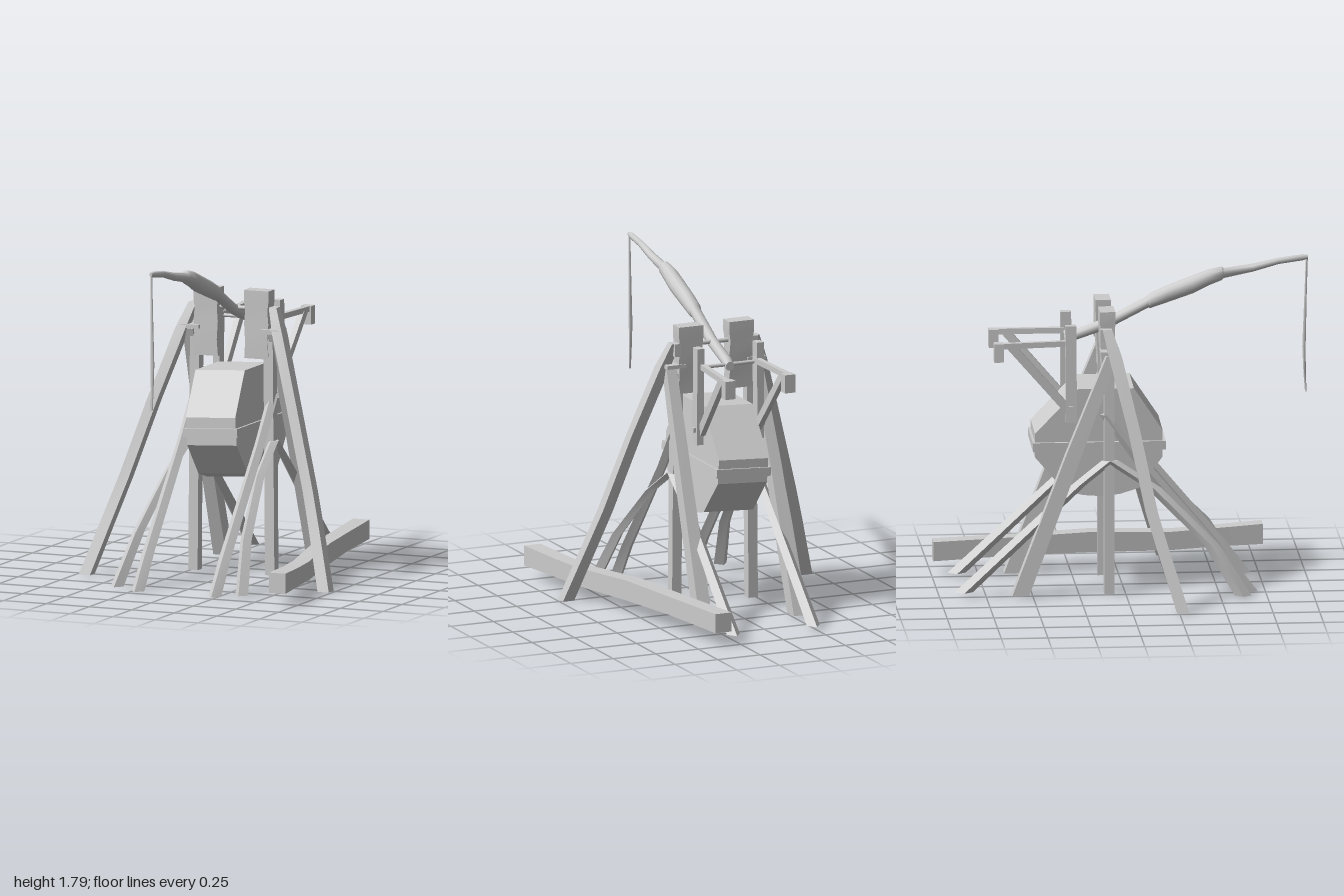
import * as THREE from 'three';
import { toCreasedNormals } from 'three/addons/utils/BufferGeometryUtils.js';

const mat = new THREE.MeshStandardMaterial({ color: 0xcccccc });

// Loft through sections [x, y, z, width, depth]. Sections lie flat (path runs downward)
// or, with along = 'z', upright (path runs towards +z).
function loft(sections, { sides = 4, diamond = false, along = 'y', crease = 0.5 } = {}) {
  const pos = [], idx = [];
  const square = sides === 4 && !diamond;
  const k = square ? Math.SQRT2 / 2 : 0.5;
  for (const [x, y, z, w, d] of sections) {
    for (let i = 0; i < sides; i++) {
      const a = (i / sides) * Math.PI * 2 + (square ? Math.PI / 4 : 0);
      const u = Math.cos(a) * w * k, v = Math.sin(a) * d * k;
      if (along === 'z') pos.push(x + u, y + v, z);
      else pos.push(x + u, y, z + v);
    }
  }
  const last = (sections.length - 1) * sides;
  for (let r = 0; r < last; r += sides) {
    for (let i = 0; i < sides; i++) {
      const j = (i + 1) % sides;
      idx.push(r + i, r + j, r + sides + j, r + i, r + sides + j, r + sides + i);
    }
  }
  for (let i = 1; i < sides - 1; i++) {
    idx.push(0, i + 1, i, last, last + i, last + i + 1);
  }
  const g = new THREE.BufferGeometry();
  g.setAttribute('position', new THREE.Float32BufferAttribute(pos, 3));
  g.setIndex(idx);
  return toCreasedNormals(g, crease);
}

export function createModel() {
  const model = new THREE.Group();
  const add = (name, geometry, parent = model) => {
    const m = new THREE.Mesh(geometry, mat);
    m.name = name;
    parent.add(m);
    return m;
  };
  const box = (name, x, y, z, w, h, d, parent) =>
    add(name, new THREE.BoxGeometry(w, h, d), parent).position.set(x, y, z);
  const rod = (name, y, z, length, r) => {
    const m = add(name, new THREE.CylinderGeometry(r, r, length, 10));
    m.rotation.z = Math.PI / 2;
    m.position.set(0, y, z);
  };

  // Throwing arm with a thicker wrapped middle, and its hanging rope
  add('throwingArm', loft([
    [0, 1.365, -0.31, 0.05, 0.05], [0, 1.38, -0.28, 0.06, 0.06], [0, 1.45, -0.08, 0.06, 0.065],
    [0, 1.565, 0.14, 0.062, 0.068], [0, 1.57, 0.15, 0.078, 0.085], [0, 1.605, 0.24, 0.085, 0.095],
    [0, 1.655, 0.38, 0.09, 0.1], [0, 1.69, 0.46, 0.085, 0.09], [0, 1.712, 0.535, 0.07, 0.075],
    [0, 1.713, 0.545, 0.052, 0.055], [0, 1.74, 0.7, 0.045, 0.045], [0, 1.775, 0.84, 0.036, 0.036],
    [0, 1.792, 0.97, 0.03, 0.034], [0, 1.795, 0.998, 0.018, 0.02],
  ], { sides: 12, along: 'z', crease: 0.9 }));
  add('slingRope', loft([
    [0, 1.805, 0.992, 0.012, 0.012], [0, 1.6, 0.985, 0.014, 0.014], [0, 1.3, 0.976, 0.022, 0.02],
    [0, 1.15, 0.98, 0.016, 0.014], [0, 1.055, 0.986, 0.012, 0.01],
  ], { sides: 6, crease: 1.2 }));

  // Cross rods
  rod('axle', 1.455, -0.1, 0.2, 0.012);
  rod('rearRod', 1.373, -0.295, 0.36, 0.01);

  // Counterweight box: eight-sided profile in z, y, slightly tilted
  const weight = new THREE.Group();
  weight.name = 'counterweight';
  weight.position.set(0, 0.84, -0.14);
  weight.rotation.z = 0.055;
  model.add(weight);
  const slab = (name, outline, width) => {
    const shape = new THREE.Shape(outline.map(([z, y]) => new THREE.Vector2(z + 0.14, y - 0.84)));
    const g = new THREE.ExtrudeGeometry(shape, { depth: width, bevelEnabled: false });
    g.translate(0, 0, -width / 2).rotateY(-Math.PI / 2);
    add(name, toCreasedNormals(g, 0.45), weight);
  };
  slab('weightBody', [
    [0.05, 1.135], [-0.25, 1.135], [-0.48, 0.89], [-0.48, 0.76], [-0.32, 0.57], [-0.22, 0.545],
    [-0.12, 0.537], [-0.02, 0.548], [0.08, 0.58], [0.205, 0.75], [0.205, 0.9],
  ], 0.29);
  slab('weightBand', [[0.222, 0.842], [-0.492, 0.842], [-0.492, 0.795], [0.222, 0.795]], 0.318);

  // Frame, mirrored left and right
  for (const s of [1, -1]) {
    const side = new THREE.Group();
    side.name = s > 0 ? 'leftFrame' : 'rightFrame';
    model.add(side);
    const beam = (name, pts, opts) =>
      add(name, loft(pts.map(([x, ...rest]) => [s * x, ...rest]), opts), side);

    // Head block with gentle waists, and the post below it
    beam('headBlock', [
      [0.148, 1.56, -0.095, 0.144, 0.082], [0.148, 1.5, -0.095, 0.144, 0.082],
      [0.148, 1.45, -0.095, 0.13, 0.078], [0.148, 1.38, -0.095, 0.142, 0.078],
      [0.148, 1.28, -0.09, 0.13, 0.07], [0.148, 1.19, -0.09, 0.142, 0.065],
    ]);
    beam('post', [[0.215, 1.3, -0.088, 0.055, 0.055], [0.225, 0.02, -0.088, 0.055, 0.055]]);
    box('collar', s * 0.235, 1.345, -0.085, 0.11, 0.02, 0.105, side);
    box('axleCheek', s * 0.225, 1.435, -0.115, 0.04, 0.07, 0.04, side);

    // Splayed legs and braces
    beam('outriggerLeg', [
      [0.235, 1.47, -0.1, 0.045, 0.05], [0.285, 1.33, -0.06, 0.06, 0.07],
      [0.41, 0.95, 0.03, 0.06, 0.065], [0.54, 0.53, 0.115, 0.06, 0.065],
      [0.6, 0.34, 0.17, 0.062, 0.065], [0.7, 0.015, 0.27, 0.066, 0.065],
    ]);
    beam('backLeg', [
      [0.25, 1.33, -0.075, 0.06, 0.06], [0.265, 0.8, -0.28, 0.065, 0.085],
      [0.275, 0.03, -0.57, 0.075, 0.09],
    ]);
    beam('frontBrace', [
      [0.225, 1.0, -0.11, 0.06, 0.06], [0.225, 0.75, 0.07, 0.06, 0.07],
      [0.225, 0.2, 0.53, 0.07, 0.075], [0.225, 0.015, 0.66, 0.074, 0.1],
    ], { diamond: true });
    beam('frontSplayBrace', [
      [0.24, 0.75, -0.08, 0.055, 0.08], [0.262, 0.6, 0.15, 0.055, 0.08],
      [0.315, 0.3, 0.45, 0.065, 0.08], [0.365, 0.025, 0.62, 0.075, 0.09],
    ], { diamond: true });
    beam('backBrace', [
      [0.24, 0.75, -0.09, 0.055, 0.08], [0.235, 0.62, -0.25, 0.055, 0.08],
      [0.235, 0.04, -0.87, 0.076, 0.1],
    ], { diamond: true });

    // Rear bracket: upright, arm, strut and end block
    beam('rearUpright', [[0.175, 1.48, -0.29, 0.04, 0.058], [0.178, 0.95, -0.288, 0.04, 0.058]]);
    box('uprightPin', s * 0.175, 1.03, -0.29, 0.07, 0.025, 0.025, side);
    beam('rearArm', [[0.183, 1.375, -0.68, 0.03, 0.03], [0.16, 1.38, -0.28, 0.03, 0.03]], { along: 'z' });
    beam('rearStrut', [[0.18, 1.37, -0.61, 0.03, 0.06], [0.165, 1.0, -0.29, 0.03, 0.06]]);
    box('endBlock', s * 0.175, 1.34, -0.677, 0.06, 0.1, 0.052, side);
  }

  // Loose timber lying beside the frame
  add('looseTimber', loft([
    [0.347, 0.142, -0.99, 0.096, 0.105], [0.42, 0.146, -0.55, 0.09, 0.1], [0.49, 0.146, -0.15, 0.094, 0.11],
    [0.57, 0.125, 0.3, 0.09, 0.1], [0.61, 0.13, 0.52, 0.09, 0.1], [0.655, 0.136, 0.805, 0.096, 0.11],
  ], { along: 'z' }));

  return model;
}
